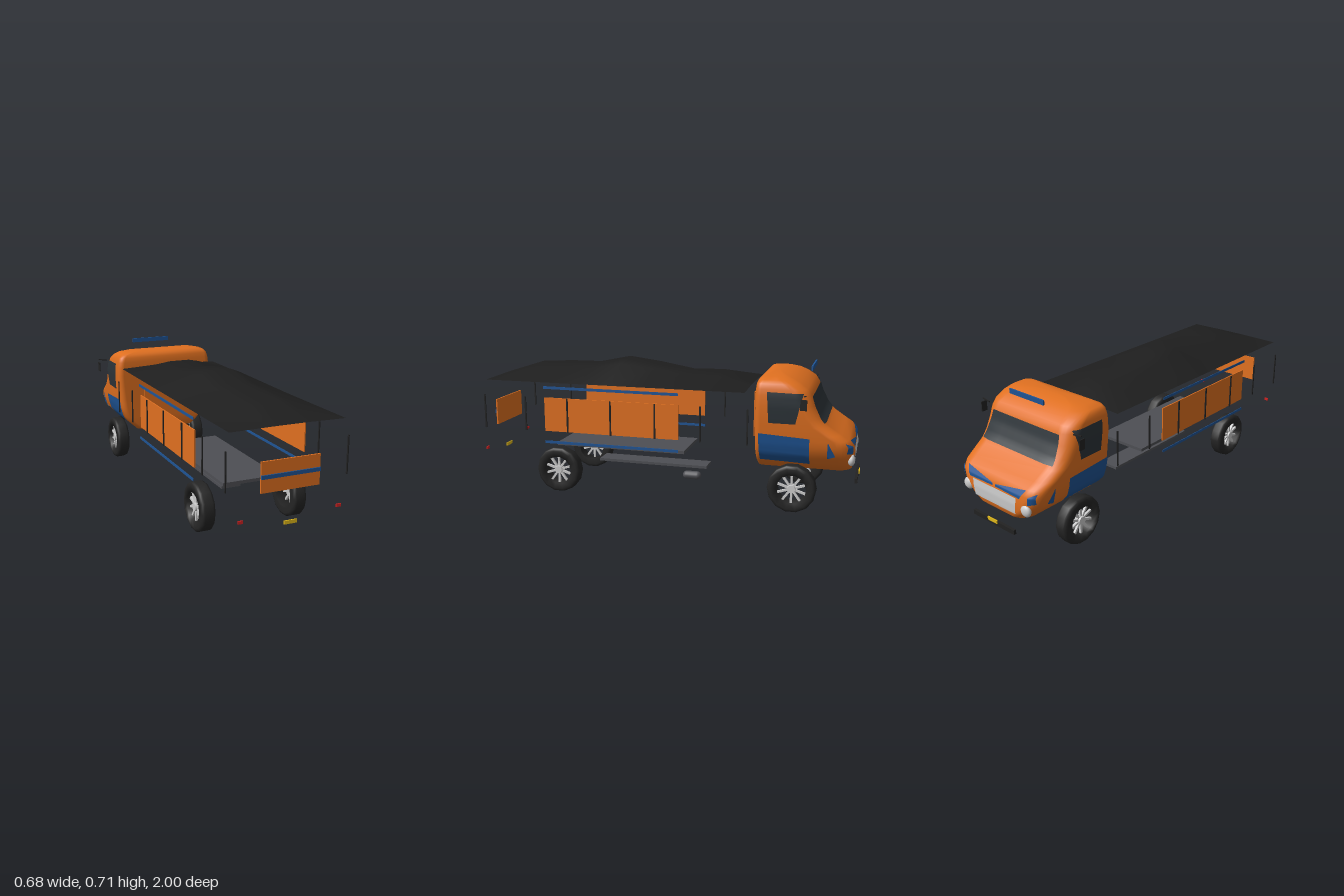
import * as THREE from 'three';

const mat = (color, side = THREE.FrontSide) => new THREE.MeshStandardMaterial({ color, side });
const D = THREE.DoubleSide;
const orange = mat(0xe07020), blue = mat(0x1f5494), blueTrim = mat(0x1f5494, D), rubber = mat(0x252525),
  tarpMat = mat(0x1e1e1e, D), glass = mat(0x2c3338, D), grey = mat(0x4e4f54), dark = mat(0x222222),
  silver = mat(0xcccccc, D), red = mat(0xd02222), yellow = mat(0xe0b81a);

// Cab cross-sections by height: y, half width, back z, front z
const LEVELS = [
  [0.184, 0.04, -0.58, -0.92], [0.195, 0.11, -0.52, -0.945], [0.21, 0.175, -0.497, -0.96],
  [0.245, 0.212, -0.491, -0.968], [0.29, 0.252, -0.49, -0.97], [0.345, 0.268, -0.49, -0.965],
  [0.375, 0.272, -0.49, -0.945], [0.4, 0.276, -0.49, -0.905], [0.44, 0.28, -0.49, -0.845],
  [0.48, 0.284, -0.49, -0.808], [0.54, 0.288, -0.49, -0.775], [0.59, 0.286, -0.49, -0.758],
  [0.62, 0.282, -0.491, -0.738], [0.645, 0.275, -0.494, -0.7], [0.662, 0.26, -0.502, -0.665],
  [0.673, 0.215, -0.52, -0.63], [0.679, 0.12, -0.545, -0.595]];

function section(y) {
  let i = 0;
  while (i < LEVELS.length - 2 && LEVELS[i + 1][0] < y) i++;
  const a = LEVELS[i], b = LEVELS[i + 1], t = (y - a[0]) / (b[0] - a[0]);
  const [w, zb, zf] = [1, 2, 3].map(k => a[k] + (b[k] - a[k]) * t);
  const limit = Math.min(w * 0.7, (zb - zf) / 2);
  return { w, zb, zf, rf: Math.min(0.075, limit), rb: Math.min(0.03, limit) };
}

// Points of the cab's skin, on the nose for (x, y) and on the side for (z, y)
const arcDrop = (d, r) => d <= 0 ? 0 : r - Math.sqrt(Math.max(0, r * r - d * d));
function onFront(x, y, off) {
  const s = section(y);
  return [x, y, s.zf + arcDrop(Math.abs(x) - s.w + s.rf, s.rf) - off];
}
function onSide(z, y, off) {
  const s = section(y);
  return [s.w - arcDrop(s.zf + s.rf - z, s.rf) + off, y, z];
}

function gridGeometry(nu, nv, fn) {
  const pos = [], idx = [];
  for (let j = 0; j <= nv; j++) for (let i = 0; i <= nu; i++) pos.push(...fn(i / nu, j / nv, i, j));
  for (let j = 0; j < nv; j++) for (let i = 0; i < nu; i++) {
    const a = j * (nu + 1) + i, b = a + 1, c = a + nu + 1, d = c + 1;
    idx.push(a, c, b, b, c, d);
  }
  const g = new THREE.BufferGeometry();
  g.setAttribute('position', new THREE.Float32BufferAttribute(pos, 3));
  g.setIndex(idx);
  g.computeVertexNormals();
  return g;
}

// Panel laid over the cab skin between four corners, optionally mirrored in x
function patch(q, on, off, flip = 1) {
  return gridGeometry(10, 10, (u, v) => {
    const mix = k => (q[0][k] * (1 - u) + q[1][k] * u) * (1 - v) + (q[3][k] * (1 - u) + q[2][k] * u) * v;
    const p = on(mix(0), mix(1), off);
    return [p[0] * flip, p[1], p[2]];
  });
}

function cabGeometry() {
  const pos = [], idx = [], n = 28;
  for (const [y] of LEVELS) {
    const s = section(y);
    [[1, 1], [-1, 1], [-1, -1], [1, -1]].forEach(([sx, sz], c) => {
      const r = sz > 0 ? s.rb : s.rf, cz = sz > 0 ? s.zb - r : s.zf + r;
      for (let k = 0; k < 7; k++) {
        const a = (c + k / 6) * Math.PI / 2;
        pos.push(sx * (s.w - r) + r * Math.cos(a), y, cz + r * Math.sin(a));
      }
    });
  }
  const top = (LEVELS.length - 1) * n, cb = LEVELS.length * n, ct = cb + 1;
  pos.push(0, 0.183, -0.75, 0, 0.68, -0.57);
  for (let i = 0; i < n; i++) {
    const i2 = (i + 1) % n;
    for (let j = 0; j < top; j += n) idx.push(j + i, j + n + i, j + i2, j + i2, j + n + i, j + n + i2);
    idx.push(cb, i, i2, ct, top + i2, top + i);
  }
  const g = new THREE.BufferGeometry();
  g.setAttribute('position', new THREE.Float32BufferAttribute(pos, 3));
  g.setIndex(idx);
  g.computeVertexNormals();
  return g;
}

function makeWheel() {
  const wheel = new THREE.Group();
  const put = (name, geo, m) => {
    const o = new THREE.Mesh(geo, m);
    o.name = name;
    wheel.add(o);
    return o;
  };
  const profile = [[0.074, -0.034], [0.105, -0.036], [0.118, -0.03], [0.122, -0.02], [0.122, 0.02],
    [0.118, 0.03], [0.105, 0.036], [0.074, 0.034], [0.074, -0.034]].map(p => new THREE.Vector2(...p));
  put('tyre', new THREE.LatheGeometry(profile, 14), rubber).rotation.z = -Math.PI / 2;
  put('rim', new THREE.CylinderGeometry(0.075, 0.075, 0.06, 28, 1, true), silver).rotation.z = Math.PI / 2;
  put('hub', new THREE.CylinderGeometry(0.02, 0.024, 0.03, 16), silver).rotation.z = -Math.PI / 2;
  wheel.children[2].position.x = 0.014;
  for (let i = 0; i < 10; i++) {
    const a = i / 10 * Math.PI * 2;
    const s = put('spoke', new THREE.BoxGeometry(0.012, 0.058, 0.011), silver);
    s.position.set(0.014, Math.cos(a) * 0.046, Math.sin(a) * 0.046);
    s.rotation.x = a;
  }
  return wheel;
}

export function createModel() {
  const model = new THREE.Group();
  model.name = 'truck';
  const add = (name, geo, m) => {
    const o = new THREE.Mesh(geo, m);
    o.name = name;
    model.add(o);
    return o;
  };
  const box = (name, m, w, h, d, x, y, z) => {
    const o = add(name, new THREE.BoxGeometry(w, h, d), m);
    o.position.set(x, y, z);
    return o;
  };

  // Cab
  add('cab', cabGeometry(), orange);
  add('windscreen', patch([[-0.24, 0.457], [0.24, 0.457], [0.225, 0.585], [-0.225, 0.585]], onFront, 0.004), glass);
  add('grille', patch([[-0.14, 0.24], [0.14, 0.24], [0.15, 0.325], [-0.15, 0.325]], onFront, 0.006), silver);
  box('roofSign', blue, 0.228, 0.024, 0.008, 0, 0.704, -0.745);
  box('bumper', dark, 0.286, 0.023, 0.014, 0, 0.152, -0.985);
  box('frontPlate', yellow, 0.064, 0.017, 0.006, 0, 0.165, -0.995);

  // Load bed
  box('floor', grey, 0.294, 0.016, 0.72, 0, 0.233, 0.26);
  box('chassisBeam', grey, 0.108, 0.014, 0.61, 0, 0.133, 0.105);
  box('headboard', orange, 0.29, 0.23, 0.006, 0, 0.463, -0.468);
  box('tailgate', orange, 0.29, 0.142, 0.008, 0, 0.389, 0.984);
  box('tailgateStripe', blue, 0.29, 0.018, 0.006, 0, 0.391, 0.991);
  box('rearPlate', yellow, 0.064, 0.017, 0.006, 0, 0.171, 0.996);
  const tank = add('tank', new THREE.CapsuleGeometry(0.021, 0.054, 6, 14), grey);
  tank.rotation.x = Math.PI / 2;
  tank.position.set(0.24, 0.145, -0.168);

  // Tarpaulin roof: arched section scaled by a height along z
  const arch = [[-0.284, 0], [-0.106, 0.83], [-0.057, 1], [0.057, 1], [0.106, 0.83], [0.284, 0]];
  const ridge = [[0.96, 0.003], [0.78, 0.06], [0.6, 0.07], [0.43, 0.072], [0.26, 0.108],
    [0.085, 0.086], [-0.1, 0.053], [-0.27, 0.058], [-0.44, 0.008]];
  add('tarpaulin', gridGeometry(arch.length - 1, ridge.length - 1, (u, v, i, j) =>
    [arch[i][0], 0.597 + arch[i][1] * ridge[j][1], -ridge[j][0]]), tarpMat).scale.z = -1;

  // Mirrored parts
  for (const s of [1, -1]) {
    add('sideWindow', patch([[-0.56, 0.455], [-0.69, 0.455], [-0.742, 0.545], [-0.715, 0.615]]
      .concat().map((p, i) => i === 3 ? [-0.55, 0.608] : i === 2 ? [-0.725, 0.605] : p), onSide, 0.004, s), glass);
    add('doorPanel', patch([[-0.515, 0.255], [-0.76, 0.245], [-0.76, 0.385], [-0.51, 0.4]], onSide, 0.007, s), blueTrim);
    add('sideFlash', patch([[-0.845, 0.285], [-0.885, 0.3], [-0.85, 0.368], [-0.848, 0.368]], onSide, 0.006, s), blueTrim);
    add('frontTrim', patch([[0.01, 0.335], [0.17, 0.33], [0.2, 0.375], [0.01, 0.347]], onFront, 0.006, s), blueTrim);
    add('cornerTrim', patch([[0.215, 0.31], [0.248, 0.315], [0.252, 0.365], [0.22, 0.35]], onFront, 0.006, s), blueTrim);
    const lamp = add('headlight', new THREE.SphereGeometry(0.03, 20, 14), silver);
    lamp.scale.z = 0.6;
    lamp.position.set(...onFront(s * 0.2, 0.275, 0));

    box('mirrorArm', dark, 0.05, 0.005, 0.006, s * 0.312, 0.6, -0.735).rotation.z = s * 0.15;
    box('mirror', dark, 0.005, 0.052, 0.032, s * 0.335, 0.561, -0.732);

    box('sidePanel', orange, 0.006, 0.18, 0.73, s * 0.291, 0.429, 0.257);
    for (let i = 0; i < 7; i++)
      box('post', dark, 0.005, 0.182, 0.008, s * 0.301, 0.429, 0.965 - i * 0.2375);
    box('upperRail', blue, 0.003, 0.014, 0.73, s * 0.298, 0.573, 0.257);
    box('lowerRail', blue, 0.003, 0.014, 0.73, s * 0.298, 0.281, 0.257);
    box('tailLight', red, 0.024, 0.014, 0.006, s * 0.244, 0.208, 0.996);

    for (const z of [0.565, -0.68]) {
      const wheel = makeWheel();
      wheel.name = z > 0 ? 'rearWheel' : 'frontWheel';
      wheel.position.set(s * 0.243, 0.122, z);
      if (s < 0) wheel.rotation.y = Math.PI;
      model.add(wheel);
    }
  }
  return model;
}
